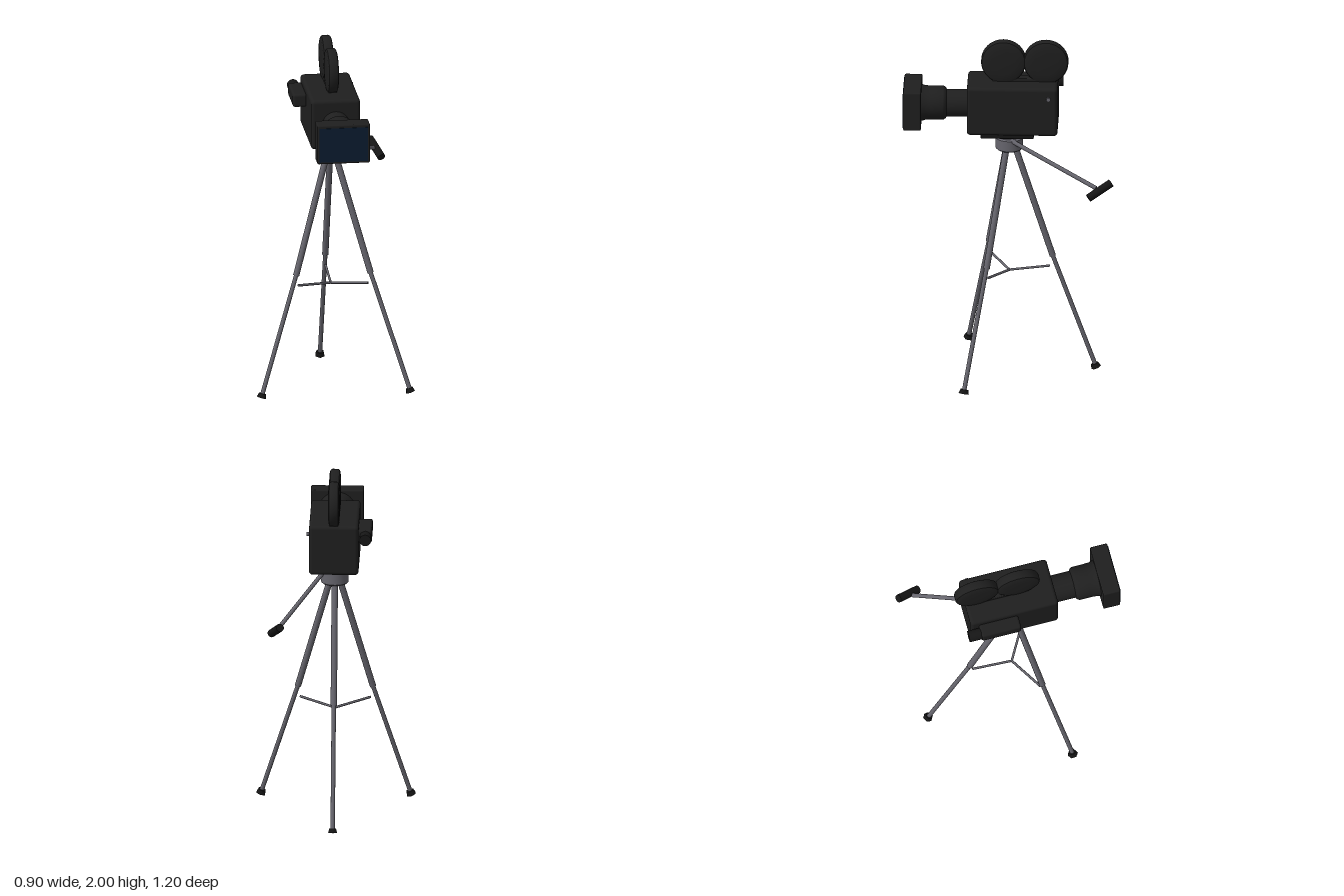
import * as THREE from 'three';
import { RoundedBoxGeometry } from 'three/addons/geometries/RoundedBoxGeometry.js';
import { toCreasedNormals } from 'three/addons/utils/BufferGeometryUtils.js';

const paint = (name, color) => {
  const m = new THREE.MeshStandardMaterial({ color });
  m.name = name;
  return m;
};
const V = (x, y, z) => new THREE.Vector3(x, y, z);

export function createModel() {
  const black = paint('camera black', 0x1f1f1f);
  const rubber = paint('rubber black', 0x161616);
  const metal = paint('tripod grey', 0x66656d);
  const blue = paint('lens blue', 0x0a1c30);
  const root = new THREE.Group();
  root.name = 'movieCamera';

  const add = (name, geo, mat, x = 0, y = 0, z = 0) => {
    const mesh = new THREE.Mesh(geo, mat);
    mesh.name = name;
    mesh.position.set(x, y, z);
    root.add(mesh);
    return mesh;
  };
  const box = (name, mat, w, h, d, r, x, y, z) =>
    add(name, new RoundedBoxGeometry(w, h, d, 3, r), mat, x, y, z);
  // Cylinder running from point a to point b
  const rod = (name, mat, a, b, r0, r1 = r0, sides = 12) => {
    const dir = b.clone().sub(a);
    const mesh = add(name, new THREE.CylinderGeometry(r1, r0, dir.length(), sides), mat);
    mesh.position.copy(a).add(b).multiplyScalar(0.5);
    mesh.quaternion.setFromUnitVectors(V(0, 1, 0), dir.normalize());
    return mesh;
  };
  // Turned part with crisp edges
  const lathe = (pts) => toCreasedNormals(
    new THREE.LatheGeometry(pts.map(([r, y]) => new THREE.Vector2(r, y)), 40), 0.6);

  // Camera body
  box('body', black, 0.28, 0.29, 0.513, 0.02, 0, 1.615, -0.019);
  box('magazineMount', black, 0.05, 0.03, 0.36, 0.006, 0, 1.762, -0.085);

  // Two film magazines, slightly domed discs standing on top
  for (const z of [0.033, -0.207]) {
    const disc = add('filmMagazine', lathe([
      [0, -0.034], [0.07, -0.033], [0.11, -0.03], [0.122, -0.025], [0.127, -0.016],
      [0.127, 0.016], [0.122, 0.025], [0.11, 0.03], [0.07, 0.033], [0, 0.034],
    ]), black, 0, 1.873, z);
    disc.rotation.z = Math.PI / 2;
  }

  // Lens barrel, turned along z
  const lens = add('lensBarrel', lathe([
    [0, 0.2], [0.078, 0.2], [0.078, 0.355], [0.088, 0.36], [0.096, 0.372],
    [0.096, 0.44], [0.098, 0.475], [0.106, 0.5], [0, 0.5],
  ]), black, 0, 1.615, 0);
  lens.rotation.x = Math.PI / 2;

  // Matte box with front glass
  box('matteBox', black, 0.3, 0.23, 0.1, 0.008, 0, 1.615, 0.547);
  add('frontGlass', new THREE.BoxGeometry(0.276, 0.2, 0.006), blue, 0, 1.612, 0.597);

  // Viewfinder on the right side
  box('viewfinder', black, 0.08, 0.076, 0.23, 0.014, -0.175, 1.687, -0.115);
  rod('eyepiece', rubber, V(-0.179, 1.687, -0.22), V(-0.179, 1.687, -0.3), 0.033, 0.033, 24);

  // Small knob on the left side
  rod('sideKnob', metal, V(0.13, 1.7, -0.225), V(0.155, 1.7, -0.225), 0.012, 0.012, 16);

  // Tripod head
  box('mountingPlate', rubber, 0.18, 0.03, 0.3, 0.006, 0, 1.448, 0.01);
  rod('mountingScrew', metal, V(0, 1.41, 0), V(0, 1.475, 0), 0.025);
  add('tripodHead', lathe([
    [0, 1.342], [0.07, 1.342], [0.078, 1.35], [0.078, 1.412], [0.07, 1.42], [0, 1.42],
  ]), metal);

  // Pan handle
  rod('panHandle', metal, V(0.06, 1.412, -0.01), V(0.305, 1.228, -0.5), 0.012);
  rod('handleGrip', rubber, V(0.295, 1.257, -0.585), V(0.347, 1.183, -0.458), 0.023, 0.023, 14);

  // Three telescopic legs with feet and spreader arms
  for (let i = 0; i < 3; i++) {
    const a = Math.PI / 6 + (i * Math.PI * 2) / 3;
    const at = (r, y) => V(Math.cos(a) * r, y, Math.sin(a) * r);
    rod('upperLeg', metal, at(0.033, 1.35), at(0.245, 0.69), 0.018);
    rod('lowerLeg', metal, at(0.24, 0.705), at(0.485, 0.03), 0.0125);
    rod('foot', rubber, at(0.482, 0.035), at(0.491, 0.011), 0.022, 0.029, 6);
    rod('spreaderArm', metal, at(0, 0.6), at(0.23, 0.628), 0.007, 0.007, 8);
  }
  return root;
}
